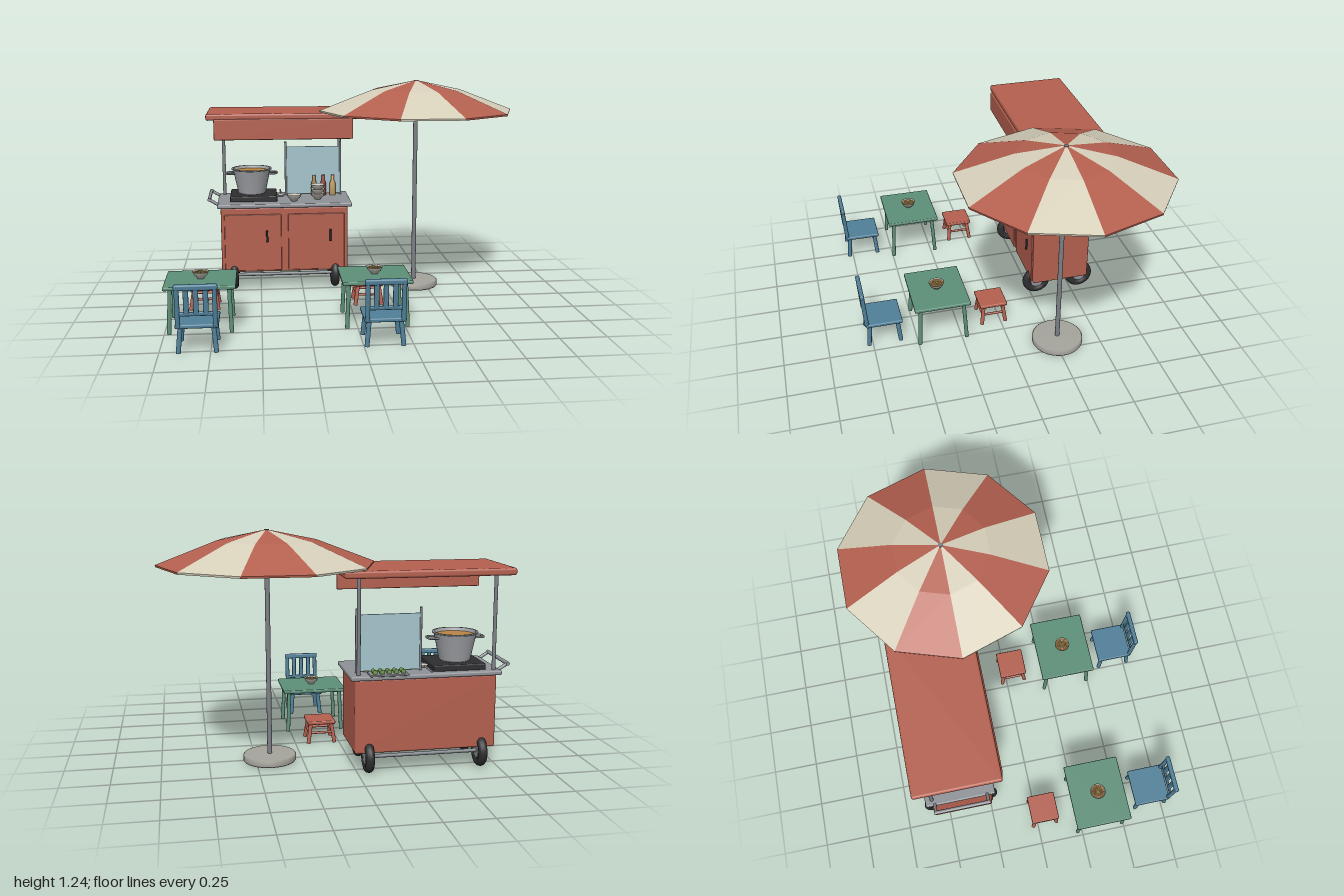
import * as THREE from 'three';
import { RoundedBoxGeometry } from 'three/addons/geometries/RoundedBoxGeometry.js';

const mat = (color, extra = {}) => new THREE.MeshStandardMaterial({ color, ...extra });
const RED = mat(0xb4604f), GREEN = mat(0x5c8f78), BLUE = mat(0x4f7f98), METAL = mat(0x8e9196);
const POLE = mat(0x7c8085), DARK = mat(0x2e2e30), TAN = mat(0xc9a262), GLASS = mat(0xa3c4cb);
const STONE = mat(0xa5a49c), HERB = mat(0x6f9a4c), BROTH = mat(0xb98545);
const BOWL = mat(0xbdbab0, { side: THREE.DoubleSide }), POT = mat(0xa2a5a9, { side: THREE.DoubleSide });

function add(parent, name, geo, material, x = 0, y = 0, z = 0) {
  const m = new THREE.Mesh(geo, material);
  m.name = name;
  m.position.set(x, y, z);
  parent.add(m);
  return m;
}
// Box given by its min and max on each axis
function box(parent, name, material, [x0, x1], [y0, y1], [z0, z1], r = 0.005) {
  const geo = new RoundedBoxGeometry(x1 - x0, y1 - y0, z1 - z0, 2, r);
  return add(parent, name, geo, material, (x0 + x1) / 2, (y0 + y1) / 2, (z0 + z1) / 2);
}
// Round bar between two points
function rod(parent, name, material, a, b, r, r2 = r) {
  const p = new THREE.Vector3(...a), q = new THREE.Vector3(...b), d = q.clone().sub(p);
  const m = add(parent, name, new THREE.CylinderGeometry(r2, r, d.length(), 14), material);
  m.position.copy(p).add(q).multiplyScalar(0.5);
  m.quaternion.setFromUnitVectors(new THREE.Vector3(0, 1, 0), d.normalize());
  return m;
}
function lathe(parent, name, material, points, x, y, z, sides = 28) {
  return add(parent, name, new THREE.LatheGeometry(points.map(p => new THREE.Vector2(...p)), sides), material, x, y, z);
}
function group(parent, name, x = 0, y = 0, z = 0) {
  const g = new THREE.Group();
  g.name = name;
  g.position.set(x, y, z);
  parent.add(g);
  return g;
}
// Four splayed legs: half spans at the top and at the floor
function legs(parent, material, [tx, tz], [bx, bz], top, r) {
  for (const sx of [-1, 1]) for (const sz of [-1, 1])
    rod(parent, 'leg', material, [sx * bx, 0, sz * bz], [sx * tx, top, sz * tz], r);
}
function bowl(parent, x, y, z) {
  lathe(parent, 'bowl', BOWL, [[0, 0], [0.02, 0], [0.02, 0.006], [0.034, 0.018], [0.044, 0.038],
    [0.041, 0.038], [0.031, 0.02], [0, 0.01]], x, y, z);
}

function buildCart(root) {
  const cart = group(root, 'foodCart');
  box(cart, 'cabinet', RED, [-0.73, 0.02], [0.11, 0.5], [-0.585, -0.245], 0.01);
  for (const x of [-0.71, -0.335]) {
    box(cart, 'door', RED, [x, x + 0.335], [0.12, 0.46], [-0.25, -0.236]);
    rod(cart, 'doorHandle', DARK, [x + 0.25, 0.295, -0.228], [x + 0.25, 0.365, -0.228], 0.006);
  }
  box(cart, 'counter', METAL, [-0.75, 0.045], [0.5, 0.524], [-0.61, -0.225], 0.008);

  // Wheels tucked under the cabinet
  for (const z of [-0.285, -0.555]) {
    rod(cart, 'axle', POLE, [-0.657, 0.085, z], [-0.055, 0.085, z], 0.01);
    for (const x of [-0.657, -0.055]) {
      const tyre = add(cart, 'tyre', new THREE.TorusGeometry(0.06, 0.024, 12, 32), DARK, x, 0.084, z);
      tyre.rotation.y = Math.PI / 2;
      rod(cart, 'hub', METAL, [x - 0.02, 0.084, z], [x + 0.02, 0.084, z], 0.038);
    }
  }

  // Push handle
  for (const z of [-0.56, -0.27]) rod(cart, 'handleArm', METAL, [-0.73, 0.51, z], [-0.795, 0.55, z], 0.009);
  rod(cart, 'handleBar', METAL, [-0.795, 0.55, -0.57], [-0.795, 0.55, -0.26], 0.01);

  // Roof with front board
  for (const x of [-0.715, 0]) rod(cart, 'roofPost', POLE, [x, 0.51, -0.572], [x, 1.03, -0.572], 0.01);
  box(cart, 'roof', RED, [-0.8, 0.085], [1.022, 1.06], [-0.645, -0.19], 0.012);
  box(cart, 'frontBoard', RED, [-0.755, 0.045], [0.91, 1.03], [-0.203, -0.182], 0.006);

  // Glass screen
  box(cart, 'glassScreen', GLASS, [-0.335, 0], [0.53, 0.825], [-0.52, -0.512], 0.002);
  for (const x of [-0.337, 0]) rod(cart, 'screenPost', POLE, [x, 0.52, -0.516], [x, 0.855, -0.516], 0.007);

  // Stove and pot
  box(cart, 'stove', DARK, [-0.675, -0.395], [0.522, 0.556], [-0.57, -0.31], 0.006);
  const pot = group(cart, 'pot', -0.545, 0.556, -0.44);
  lathe(pot, 'potWall', POT, [[0, 0], [0.078, 0], [0.084, 0.008], [0.112, 0.142], [0.121, 0.145], [0.121, 0.152],
    [0.108, 0.152], [0.08, 0.012], [0, 0.012]], 0, 0, 0, 36);
  add(pot, 'broth', new THREE.CylinderGeometry(0.106, 0.1, 0.01, 36), BROTH, 0, 0.13, 0);
  for (const s of [-1, 1]) {
    const curve = new THREE.CatmullRomCurve3([[0.1, -0.035], [0.145, -0.032], [0.152, 0], [0.145, 0.032], [0.1, 0.035]]
      .map(([x, z]) => new THREE.Vector3(s * x, 0.122, z)));
    add(pot, 'potHandle', new THREE.TubeGeometry(curve, 24, 0.006, 8), POLE);
  }

  // Bowls, bottles, tray and ladle on the counter
  bowl(cart, -0.295, 0.524, -0.32);
  for (let i = 0; i < 3; i++) bowl(cart, -0.15, 0.524 + i * 0.026, -0.365);
  [[-0.165, mat(0xa8834f)], [-0.108, mat(0x9c4a3c)], [-0.05, TAN]].forEach(([x, m]) =>
    lathe(cart, 'bottle', m, [[0, 0], [0.018, 0], [0.018, 0.075], [0.009, 0.095], [0.009, 0.125], [0, 0.125]],
      x, 0.524, -0.49, 18));
  box(cart, 'herbTray', METAL, [-0.25, -0.05], [0.524, 0.534], [-0.63, -0.535], 0.003);
  for (let i = 0; i < 5; i++)
    rod(cart, 'herbs', HERB, [-0.225 + i * 0.037, 0.542, -0.61], [-0.225 + i * 0.037, 0.542, -0.555], 0.013, 0.01);
  lathe(cart, 'ladleCup', BOWL, [[0, 0], [0.018, 0.003], [0.028, 0.016]], -0.37, 0.524, -0.46);
  rod(cart, 'ladleHandle', METAL, [-0.37, 0.537, -0.485], [-0.37, 0.537, -0.62], 0.005);
}

function buildUmbrella(root) {
  const umbrella = group(root, 'umbrella', 0.425, 0, -0.265);
  const cloth = [0xd6cfba, 0xb4604f].map(c => mat(c, { flatShading: true, side: THREE.DoubleSide }));
  const step = Math.PI / 5;
  lathe(umbrella, 'base', STONE, [[0, 0], [0.138, 0], [0.142, 0.006], [0.142, 0.032], [0.135, 0.038], [0, 0.038]], 0, 0, 0, 40);
  rod(umbrella, 'pole', POLE, [0, 0.03, 0], [0, 1.242, 0], 0.013);
  // Ten panels, each with an upper slope, a lower slope and a short hem
  const bands = [[0.008, 1.24, 0.26, 1.187], [0.26, 1.187, 0.57, 1.068], [0.57, 1.068, 0.568, 1.058]];
  for (let k = 0; k < 10; k++) {
    const start = Math.PI / 2 - step * (k + 1);
    for (const [r0, y0, r1, y1] of bands)
      add(umbrella, 'canopyPanel', new THREE.CylinderGeometry(r0, r1, y0 - y1, 1, 1, true, start, step),
        cloth[k % 2], 0, (y0 + y1) / 2, 0);
    const c = Math.cos(k * step), s = Math.sin(k * step);
    rod(umbrella, 'rib', POLE, [0, 1.23, 0], [0.26 * c, 1.18, 0.26 * s], 0.004);
    rod(umbrella, 'rib', POLE, [0.26 * c, 1.18, 0.26 * s], [0.565 * c, 1.063, 0.565 * s], 0.004);
  }
}

function buildSeating(root, x) {
  const table = group(root, 'table', x, 0, 0.358);
  box(table, 'tableTop', GREEN, [-0.185, 0.185], [0.235, 0.255], [-0.158, 0.158], 0.006);
  legs(table, GREEN, [0.15, 0.122], [0.16, 0.135], 0.24, 0.011);
  bowl(table, 0, 0.255, 0);
  add(table, 'noodles', new THREE.CylinderGeometry(0.038, 0.034, 0.006, 24), BROTH, 0, 0.284, 0);
  for (let i = 0; i < 3; i++) {
    const ring = add(table, 'noodleStrand', new THREE.TorusGeometry(0.01 + i * 0.009, 0.003, 6, 20), TAN, 0, 0.289 - i * 0.001, 0);
    ring.rotation.x = Math.PI / 2;
  }
  for (const a of [0, 2.1, 4.2])
    add(table, 'garnish', new THREE.SphereGeometry(0.005, 8, 6), HERB, 0.018 * Math.cos(a), 0.29, 0.018 * Math.sin(a));

  const stool = group(root, 'stool', x, 0, 0.042);
  box(stool, 'stoolSeat', RED, [-0.08, 0.08], [0.11, 0.13], [-0.08, 0.08], 0.006);
  legs(stool, RED, [0.058, 0.055], [0.075, 0.07], 0.115, 0.011);
  for (const s of [-1, 1]) {
    rod(stool, 'stretcher', RED, [-0.066, 0.06, s * 0.063], [0.066, 0.06, s * 0.063], 0.007);
    rod(stool, 'stretcher', RED, [s * 0.066, 0.06, -0.063], [s * 0.066, 0.06, 0.063], 0.007);
  }

  const chair = group(root, 'chair', x + 0.002, 0, 0.682);
  box(chair, 'chairSeat', BLUE, [-0.105, 0.105], [0.125, 0.146], [-0.105, 0.1], 0.007);
  legs(chair, BLUE, [0.08, 0.078], [0.092, 0.09], 0.13, 0.012);
  // Back leans away from the table
  const back = group(chair, 'chairBack', 0, 0.135, 0.094);
  back.rotation.x = 0.07;
  for (const s of [-1, 1]) rod(back, 'backPost', BLUE, [s * 0.09, 0, 0], [s * 0.09, 0.208, 0], 0.012);
  box(back, 'topRail', BLUE, [-0.105, 0.105], [0.185, 0.215], [-0.012, 0.012], 0.009);
  box(back, 'lowerRail', BLUE, [-0.09, 0.09], [0.055, 0.075], [-0.007, 0.007], 0.005);
  for (const sx of [-0.047, 0, 0.047]) box(back, 'slat', BLUE, [sx - 0.013, sx + 0.013], [0.06, 0.2], [-0.008, 0.008], 0.006);
}

export function createModel() {
  const root = new THREE.Group();
  root.name = 'streetFoodStall';
  buildCart(root);
  buildUmbrella(root);
  for (const x of [-0.815, 0.103]) buildSeating(root, x);
  return root;
}
